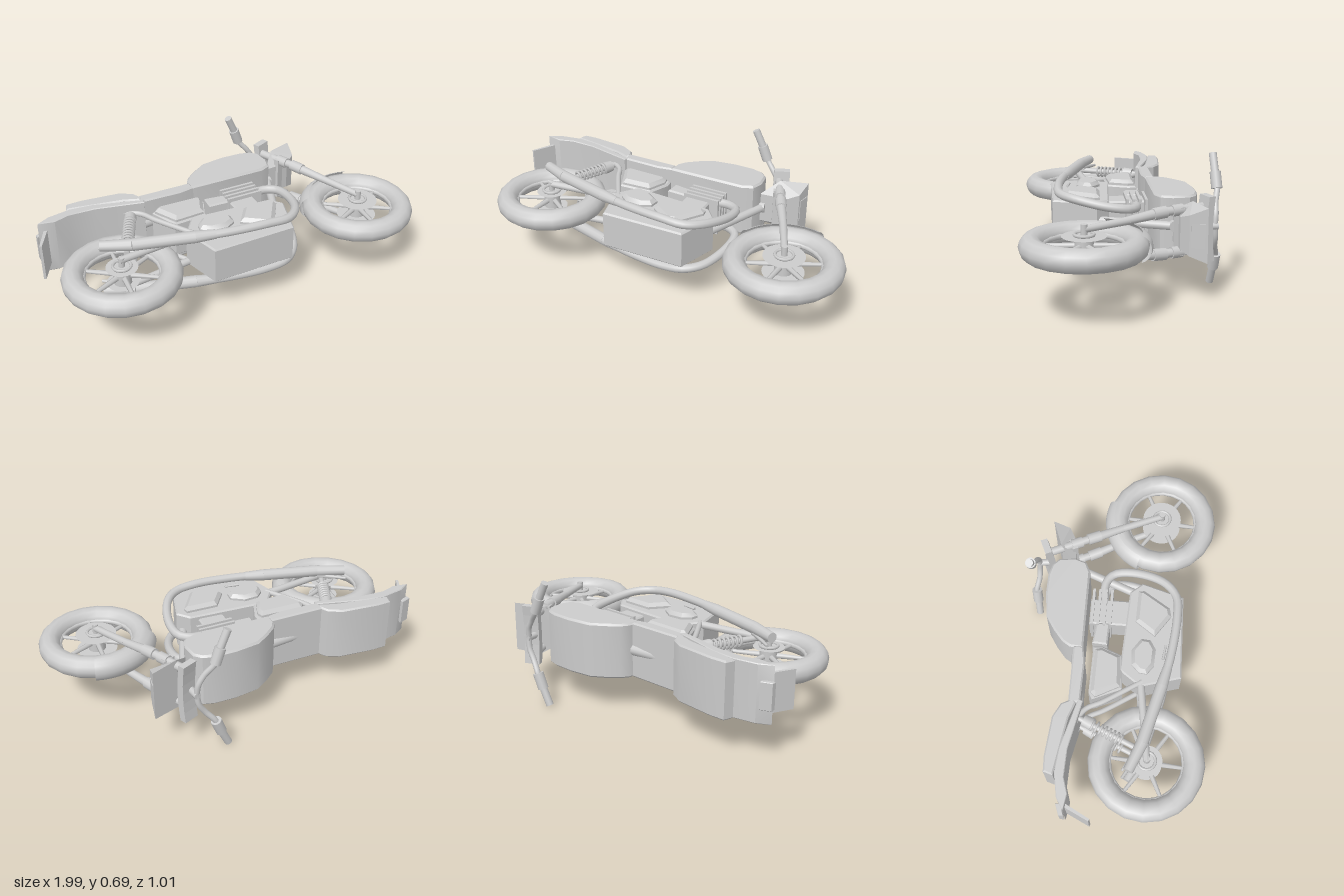
import * as THREE from 'three';
import { ConvexGeometry } from 'three/addons/geometries/ConvexGeometry.js';
import { toCreasedNormals } from 'three/addons/utils/BufferGeometryUtils.js';

const smooth = new THREE.MeshStandardMaterial({ color: 0xcccccc });
const flat = new THREE.MeshStandardMaterial({ color: 0xcccccc, flatShading: true });
const thin = new THREE.MeshStandardMaterial({ color: 0xcccccc, side: THREE.DoubleSide });
const V = (a) => new THREE.Vector3(...a);

export function createModel() {
  // The bike is built upright (x forward, y up, z across) and then laid on its side.
  const bike = new THREE.Group();
  bike.name = 'motorcycle';

  function add(name, geometry, material = smooth, parent = bike) {
    const mesh = new THREE.Mesh(geometry, material);
    mesh.name = name;
    parent.add(mesh);
    return mesh;
  }

  // Side profile extruded between two z values, with a small bevel
  function slab(name, pts, z0, z1, bevel = 0.008, parent = bike) {
    const shape = new THREE.Shape(pts.map((p) => new THREE.Vector2(...p)));
    const g = new THREE.ExtrudeGeometry(shape, {
      depth: z1 - z0 - 2 * bevel, bevelEnabled: bevel > 0, bevelSize: bevel,
      bevelThickness: bevel, bevelOffset: -bevel, bevelSegments: 1,
    });
    g.translate(0, 0, z0 + bevel);
    return add(name, toCreasedNormals(g, 0.5), smooth, parent);
  }

  // Straight round bar from a (radius ra) to b (radius rb)
  function rod(name, a, b, ra, rb = ra, parent = bike, sides = 12) {
    const from = V(a), dir = V(b).sub(from);
    const mesh = add(name, new THREE.CylinderGeometry(rb, ra, dir.length(), sides), smooth, parent);
    mesh.position.copy(from).addScaledVector(dir, 0.5);
    mesh.quaternion.setFromUnitVectors(new THREE.Vector3(0, 1, 0), dir.normalize());
    return mesh;
  }

  function tube(name, pts, r, parent = bike) {
    const path = new THREE.CatmullRomCurve3(pts.map(V), false, 'centripetal');
    return add(name, new THREE.TubeGeometry(path, 36, r, 10), thin, parent);
  }

  // Wheels: tyre, rim, hub, brake disc and six spokes
  for (const [name, x] of [['frontWheel', 0.695], ['rearWheel', -0.67]]) {
    const wheel = new THREE.Group();
    wheel.name = name;
    wheel.position.set(x, -0.2, 0);
    bike.add(wheel);
    add('tyre', new THREE.TorusGeometry(0.243, 0.057, 12, 20), smooth, wheel);
    add('rim', new THREE.TorusGeometry(0.193, 0.014, 8, 24), smooth, wheel);
    rod('hub', [0, 0, -0.05], [0, 0, 0.05], 0.045, 0.045, wheel, 18);
    rod('axle', [0, 0, -0.1], [0, 0, 0.1], 0.016, 0.016, wheel);
    for (const s of [1, -1]) {
      const r = name === 'frontWheel' ? 0.105 : 0.08;
      add('brakeDisc', new THREE.RingGeometry(0.03, r, 28), thin, wheel).position.z = s * 0.045;
      add('hubRing', new THREE.TorusGeometry(0.045, 0.008, 6, 20), smooth, wheel).position.z = s * 0.052;
    }
    for (let i = 0; i < 6; i++) {
      const a = (i * Math.PI) / 3 + 0.45, c = Math.cos(a), s = Math.sin(a);
      rod('spoke', [c * 0.035, s * 0.035, 0], [c * 0.195, s * 0.195, 0], 0.015, 0.01, wheel, 6);
    }
  }

  // Front fender: a curved shell over the tyre
  const arc = [];
  for (let i = 0; i <= 8; i++) {
    const a = (i / 8 - 0.5) * 2.6;
    arc.push(new THREE.Vector2(0.248 + 0.066 * Math.cos(a), 0.066 * Math.sin(a)));
  }
  const fenderShell = new THREE.LatheGeometry(arc, 10, THREE.MathUtils.degToRad(162), THREE.MathUtils.degToRad(85));
  fenderShell.rotateX(Math.PI / 2);
  add('frontFender', fenderShell, thin).position.set(0.695, -0.2, 0);

  // Tank, seat and tail all run the full body width
  const W = 0.148;
  slab('fuelTank', [[-0.13, 0.165], [-0.125, 0.235], [-0.1, 0.275], [-0.04, 0.325], [0.03, 0.37], [0.16, 0.388],
    [0.27, 0.386], [0.33, 0.37], [0.365, 0.335], [0.375, 0.25], [0.355, 0.19], [0.3, 0.165]], -W, W, 0.01);
  slab('seat', [[-0.42, 0.155], [-0.42, 0.215], [-0.12, 0.215], [-0.12, 0.165], [-0.2, 0.15]], -W, W);
  slab('seatHump', [[-0.795, 0.255], [-0.78, 0.305], [-0.7, 0.308], [-0.5, 0.288], [-0.43, 0.25],
    [-0.4, 0.19], [-0.42, 0.175], [-0.5, 0.205], [-0.66, 0.232]], -W, W);
  slab('tailFender', [[-0.965, 0.19], [-0.9, 0.228], [-0.78, 0.25], [-0.66, 0.238], [-0.4, 0.165],
    [-0.41, 0.14], [-0.66, 0.195], [-0.8, 0.2], [-0.88, 0.175]], -W, W, 0.004);
  slab('rearPlate', [[-0.997, 0.065], [-0.985, 0.06], [-0.92, 0.185], [-0.935, 0.195]], -0.1, 0.1, 0);
  slab('tailLamp', [[-0.975, 0.19], [-0.975, 0.215], [-0.92, 0.235], [-0.915, 0.21]], -0.07, 0.07, 0.003);

  // Engine core
  slab('crankcase', [[-0.3, -0.14], [-0.22, -0.03], [0.22, -0.055], [0.275, -0.12], [0.21, -0.34],
    [-0.24, -0.35]], -0.1, 0.1);
  slab('cylinder', [[0.035, -0.06], [0.035, 0.15], [0.175, 0.15], [0.175, -0.06]], -0.08, 0.08);
  for (let i = 0; i < 4; i++) {
    add('coolingFin', new THREE.BoxGeometry(0.2, 0.014, 0.2), flat).position.set(0.125, 0.04 + i * 0.032, 0);
  }
  slab('intake', [[-0.08, 0.045], [-0.075, 0.125], [0.04, 0.11], [0.04, 0.04]], -0.085, 0.085);
  slab('airbox', [[-0.385, 0.1], [-0.35, 0.12], [-0.1, 0.115], [-0.095, 0.07], [-0.14, -0.04], [-0.32, -0.05]], -0.1, 0.1);
  rod('backbone', [-0.42, 0.17, 0], [0.4, 0.26, 0], 0.03);
  rod('downTube', [0.38, 0.24, 0], [0.24, -0.12, 0], 0.022);

  // Parts on both sides
  for (const s of [1, -1]) {
    const side = new THREE.Group();
    side.name = s > 0 ? 'upperSideParts' : 'lowerSideParts';
    bike.add(side);
    const p = (x, y, z) => [x, y, s * z];
    const cover = (name, pts, z, d, bevel) =>
      slab(name, pts, Math.min(s * z, s * (z + d)), Math.max(s * z, s * (z + d)), bevel, side);

    // Raised covers
    cover('sideCover', [[-0.375, 0.085], [-0.35, 0.11], [-0.12, 0.105], [-0.11, 0.07], [-0.15, -0.03], [-0.31, -0.04]], 0.08, 0.05, 0.018);
    cover('clutchCover', [[-0.23, -0.13], [-0.19, -0.09], [-0.11, -0.085], [-0.045, -0.13], [-0.05, -0.18],
      [-0.1, -0.21], [-0.19, -0.205], [-0.235, -0.17]], 0.08, 0.05, 0.018);
    cover('timingCover', [[-0.025, -0.2], [0.05, -0.095], [0.22, -0.1], [0.225, -0.13], [0.135, -0.27], [0.09, -0.28]], 0.08, 0.05, 0.018);
    rod('shiftLever', p(-0.15, -0.25, 0.11), p(-0.07, -0.26, 0.11), 0.008, 0.005, side, 8);

    // Exhaust pipe and silencer
    tube('exhaustPipe', [p(0.15, 0.075, 0.065), p(0.27, 0.08, 0.07), p(0.325, 0.04, 0.075), p(0.335, -0.07, 0.09),
      p(0.28, -0.23, 0.12), p(0.2, -0.3, 0.13), p(0.08, -0.31, 0.14), p(-0.12, -0.29, 0.14), p(-0.27, -0.26, 0.138)], 0.023, side);
    rod('silencerCone', p(-0.2, -0.275, 0.139), p(-0.3, -0.25, 0.137), 0.024, 0.031, side);
    rod('silencer', p(-0.3, -0.25, 0.137), p(-0.6, -0.17, 0.135), 0.031, 0.031, side);
    rod('silencerEnd', p(-0.6, -0.17, 0.135), p(-0.745, -0.11, 0.135), 0.031, 0.026, side);

    // Rear frame, swingarm and shock with its spring
    tube('rearFrame', [p(-0.56, 0.2, 0.09), p(-0.44, 0.13, 0.09), p(-0.39, 0.04, 0.09), p(-0.27, -0.15, 0.09)], 0.014, side);
    rod('swingarm', p(-0.25, -0.14, 0.08), p(-0.68, -0.2, 0.085), 0.02, 0.018, side);
    rod('silencerBracket', p(-0.74, -0.08, 0.1), p(-0.6, -0.16, 0.11), 0.008, 0.014, side, 6);
    const low = p(-0.63, -0.17, 0.09), high = p(-0.48, 0.17, 0.09);
    const shock = rod('shock', low, high, 0.015, 0.015, side);
    rod('shockCap', p(-0.515, 0.085, 0.09), p(-0.495, 0.13, 0.09), 0.034, 0.03, side);
    for (let i = 0; i < 8; i++) {
      const coil = add('springCoil', new THREE.TorusGeometry(0.026, 0.007, 6, 14), smooth, shock);
      coil.position.y = -0.07 + i * 0.023;
      coil.rotation.x = Math.PI / 2 + 0.12;
    }

    // Fork leg, slightly splayed toward the top
    rod('forkFoot', p(0.695, -0.2, 0.076), p(0.6, 0.01, 0.088), 0.017, 0.02, side);
    rod('forkLower', p(0.6, 0.01, 0.088), p(0.535, 0.14, 0.1), 0.02, 0.025, side);
    rod('forkCollar', p(0.54, 0.13, 0.1), p(0.51, 0.195, 0.104), 0.03, 0.03, side);
    rod('forkUpper', p(0.51, 0.195, 0.104), p(0.415, 0.4, 0.105), 0.022, 0.022, side);
    rod('forkSleeve', p(0.495, 0.225, 0.104), p(0.47, 0.28, 0.105), 0.029, 0.029, side);

    // Handlebar half with control and grip
    tube('handlebar', [p(0.4, 0.455, 0), p(0.39, 0.46, 0.06), p(0.36, 0.463, 0.11), p(0.315, 0.478, 0.165), p(0.3, 0.48, 0.2)], 0.015, side);
    rod('control', p(0.31, 0.478, 0.17), p(0.28, 0.473, 0.25), 0.028, 0.028, side);
    rod('grip', p(0.28, 0.472, 0.25), p(0.24, 0.466, 0.337), 0.02, 0.02, side);
  }

  // Steering head: clamp plate, riser and lower yoke
  rod('riser', [0.41, 0.39, 0], [0.4, 0.47, 0], 0.018);
  const clamp = add('clampPlate', new THREE.BoxGeometry(0.085, 0.036, 0.325, 1, 1, 6), flat);
  const pos = clamp.geometry.attributes.position;
  for (let i = 0; i < pos.count; i++) pos.setY(i, pos.getY(i) + 0.5 * pos.getZ(i) ** 2);
  clamp.position.set(0.43, 0.4, 0);
  clamp.rotation.z = 0.42;
  const yoke = add('lowerYoke', new THREE.BoxGeometry(0.06, 0.03, 0.24), flat);
  yoke.position.set(0.47, 0.27, 0);
  yoke.rotation.z = 0.42;

  // Faceted headlight, wide at the top
  const lamp = [[0.59, 0.387, 0.135], [0.575, 0.3, 0.1], [0.52, 0.265, 0.08], [0.45, 0.335, 0.14], [0.37, 0.25, 0.08]];
  add('headlight', new ConvexGeometry(lamp.flatMap(([x, y, z]) => [V([x, y, z]), V([x, y, -z])])), flat);
  slab('headlightLens', [[0.583, 0.375], [0.573, 0.31], [0.58, 0.31], [0.592, 0.375]], -0.06, 0.06, 0);

  // Lay the bike on its side
  bike.rotation.x = -Math.PI / 2;
  bike.position.y = 0.34;
  const model = new THREE.Group();
  model.add(bike);
  return model;
}
